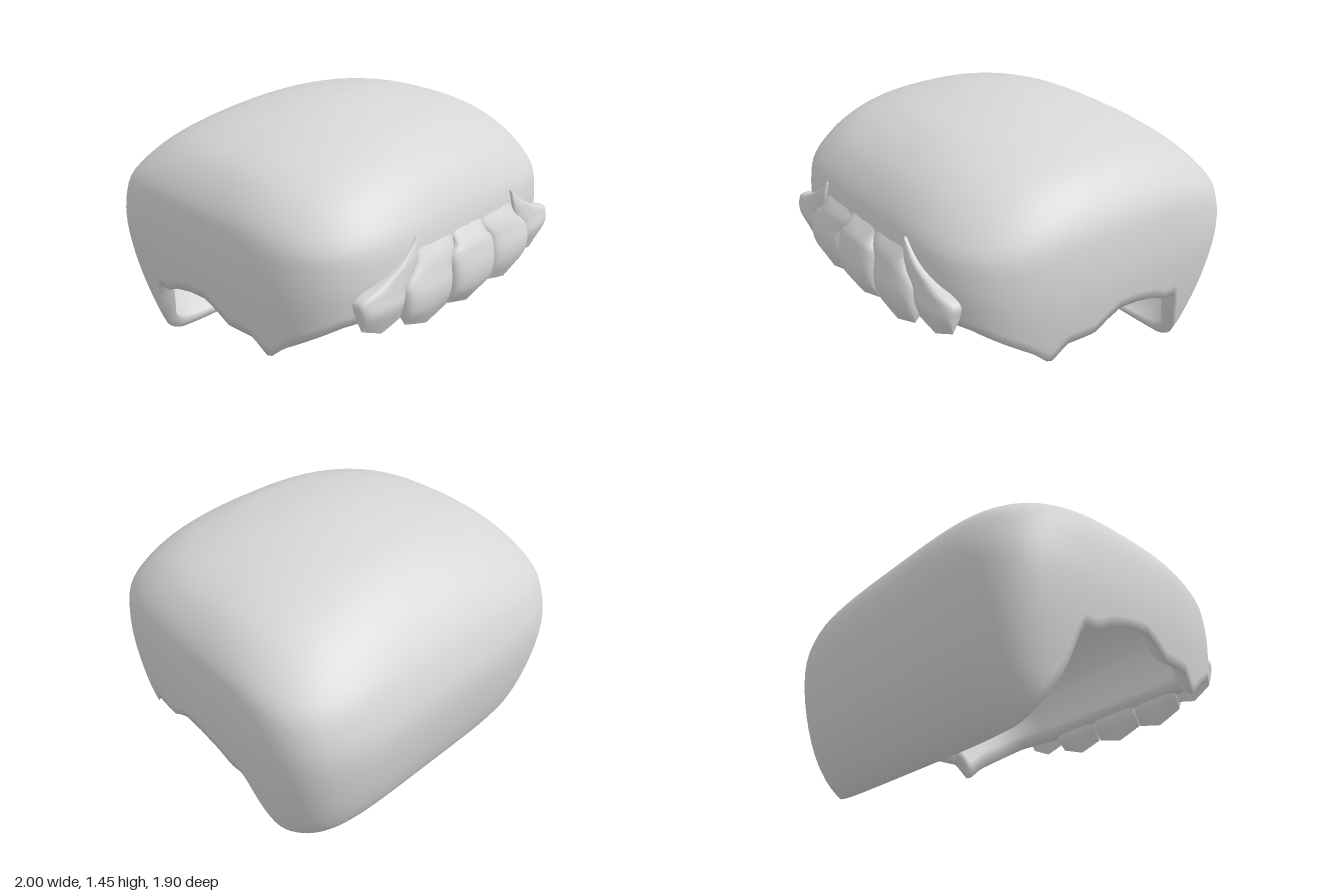
import * as THREE from 'three';

const hairGrey = new THREE.MeshStandardMaterial({ color: 0xd6d6d6 });
hairGrey.name = 'hairGrey';

// Skin a list of closed rings (ordered top to bottom) with smooth normals
function skin(rings, flip = false) {
  const n = rings[0].length, index = [];
  for (let i = 0; i < rings.length - 1; i++) {
    for (let j = 0; j < n; j++) {
      const k = (j + 1) % n;
      const a = i * n + j, c = i * n + k, b = a + n, d = c + n;
      if (flip) index.push(a, b, c, c, b, d);
      else index.push(a, c, b, c, d, b);
    }
  }
  const g = new THREE.BufferGeometry();
  g.setAttribute('position', new THREE.Float32BufferAttribute(rings.flat(2), 3));
  g.setIndex(index);
  g.computeVertexNormals();
  return g;
}

function part(name, geometry) {
  const m = new THREE.Mesh(geometry, hairGrey);
  m.name = name;
  return m;
}

// Shell profile from crown to nape: height, half width, front depth, back depth
const PROFILE = [
  [1.45, 0, 0, 0], [1.435, 0.25, 0.19, 0.21], [1.39, 0.5, 0.42, 0.43],
  [1.34, 0.67, 0.545, 0.545], [1.28, 0.8, 0.645, 0.64], [1.2, 0.89, 0.735, 0.74],
  [1.1, 0.957, 0.805, 0.828], [1.0, 0.985, 0.845, 0.89], [0.85, 0.998, 0.865, 0.942],
  [0.7, 0.995, 0.855, 0.95], [0.5, 0.97, 0.83, 0.925], [0.3, 0.93, 0.78, 0.875],
  [0.15, 0.895, 0.73, 0.8], [0.05, 0.84, 0.68, 0.725], [0, 0.78, 0.62, 0.66],
];

// Hem height along the side, as z and y pairs from front to back
const HEM = [
  [0.82, 0.68], [0.75, 0.66], [0.5, 0.5], [0.4, 0.405], [0.32, 0.5], [0.155, 0.5],
  [0.07, 0.56], [0, 0.595], [-0.12, 0.585], [-0.25, 0.55], [-0.34, 0.5], [-0.43, 0.5],
  [-0.5, 0.28], [-0.58, 0.12], [-0.62, 0.04], [-0.66, 0],
];

function hemHeight(z) {
  if (z >= HEM[0][0]) return HEM[0][1];
  for (let i = 1; i < HEM.length; i++) {
    const [z0, y0] = HEM[i - 1], [z1, y1] = HEM[i];
    if (z >= z1) return y0 + (y1 - y0) * (z0 - z) / (z0 - z1);
  }
  return 0;
}

const wide = new THREE.CatmullRomCurve3(
  PROFILE.map(([y, a, f]) => new THREE.Vector3(a, y, f)), false, 'catmullrom');
const deep = new THREE.CatmullRomCurve3(
  PROFILE.map(([y, , , b]) => new THREE.Vector3(b, y, 0)), false, 'catmullrom');

// Point on the shell at profile position u and angle phi.
// The lining is thick at the hem, thins towards the crown and has tighter corners.
function shellPoint(u, phi, inner) {
  const p = wide.getPoint(u), back = deep.getPoint(u).x;
  const c = Math.cos(phi), s = Math.sin(phi);
  const top = THREE.MathUtils.smoothstep(p.y, 0.65, 1.3);
  const n = 2 + (s > 0 ? 2.3 : 3.2) * Math.min(1, u / 0.5) ** 2 + (inner ? 1.2 * (1 - top) : 0);
  const r = (Math.abs(c) ** n + Math.abs(s) ** n) ** (-1 / n);
  const k = inner ? 0.93 + 0.045 * top : 1;
  const y = p.y + (inner ? 0.045 - 0.075 * top : 0);
  const z = (s > 0 ? p.z : back) * r * s * k;
  // the sides draw in towards the face
  const taper = 1 - 0.08 * Math.max(0, z + 0.2) ** 2;
  return [p.x * r * c * k * taper, y, z];
}

// Rounded cap of hair: outer skin to the hem, then the lining back to the crown
function shellGeometry() {
  const COLS = 208, ROWS = 36, STEPS = 240;
  const rings = Array.from({ length: 2 * (ROWS + 1) }, () => []);
  for (let j = 0; j < COLS; j++) {
    const phi = (j / COLS) * Math.PI * 2;
    let end = 1, before = 0;
    for (let i = 0; i <= STEPS; i++) {
      const [, y, z] = shellPoint(i / STEPS, phi, false);
      const gap = y - hemHeight(z);
      if (gap <= 0 && i > 0) {
        end = (i - 1 + before / (before - gap)) / STEPS;
        break;
      }
      before = gap;
    }
    for (let i = 0; i <= ROWS; i++) {
      const u = end * i / ROWS;
      rings[i].push(shellPoint(u, phi, false));
      rings[2 * ROWS + 1 - i].push(shellPoint(u, phi, true));
    }
  }
  return skin(rings);
}

// Fringe lock, full in front and nearly flat behind.
// Rows: left x, left y, right x, right y, depth centre, depth, tip drop
function lockGeometry(rows, side) {
  const SIDES = 32, SUB = 5, rings = [];
  const signed = (v, e) => Math.sign(v) * Math.abs(v) ** e;
  for (let i = 0; i <= (rows.length - 1) * SUB; i++) {
    const k = Math.min(Math.floor(i / SUB), rows.length - 2), t = i / SUB - k;
    const at = (q) => rows[Math.max(0, Math.min(rows.length - 1, q))];
    const [xl, yl, xr, yr, zc, d, tip] = rows[0].map((_, m) => {
      const a = at(k - 1)[m], b = at(k)[m], c = at(k + 1)[m], e = at(k + 2)[m];
      return b + 0.5 * t * (c - a + t * (2 * a - 5 * b + 4 * c - e + t * (3 * (b - c) + e - a)));
    });
    const ring = [];
    for (let j = 0; j < SIDES; j++) {
      const al = (j / SIDES) * Math.PI * 2;
      const s = signed(Math.cos(al), 0.65), depth = signed(Math.sin(al), 0.45);
      const w = (s + 1) / 2, x = xl + (xr - xl) * w;
      const y = yl + (yr - yl) * w - tip * (1 - Math.abs(s));
      const z = zc + Math.max(d, 0) * depth * (depth < 0 ? 0.25 : 1) - 0.1 * x ** 4;
      ring.push([x * side, y, z]);
    }
    rings.push(ring);
  }
  // close the top
  const mid = [0, 1, 2].map((m) => rings[0].reduce((sum, p) => sum + p[m], 0) / SIDES);
  rings.unshift(rings[0].map(() => mid));
  return skin(rings, side < 0);
}

const CENTRE = [
  [-0.12, 0.98, 0.12, 0.98, 0.82, 0.02, 0.01],
  [-0.125, 0.9, 0.125, 0.9, 0.84, 0.063, 0],
  [-0.165, 0.85, 0.165, 0.85, 0.84, 0.088, 0],
  [-0.17, 0.75, 0.168, 0.75, 0.845, 0.107, 0],
  [-0.17, 0.66, 0.165, 0.66, 0.85, 0.09, 0.01],
  [-0.165, 0.59, 0.16, 0.59, 0.88, 0, 0.048],
];
const MIDDLE = [
  [0.11, 0.98, 0.39, 0.98, 0.82, 0.02, 0.01],
  [0.12, 0.9, 0.4, 0.9, 0.835, 0.055, 0],
  [0.155, 0.83, 0.485, 0.82, 0.84, 0.077, 0],
  [0.163, 0.75, 0.497, 0.75, 0.845, 0.092, 0],
  [0.165, 0.67, 0.494, 0.67, 0.85, 0.078, 0.01],
  [0.17, 0.59, 0.48, 0.605, 0.88, 0, 0.048],
];
const OUTER = [
  [0.378, 1.02, 0.395, 1.005, 0.84, 0.012, 0],
  [0.385, 0.94, 0.5, 0.925, 0.84, 0.035, 0],
  [0.41, 0.86, 0.63, 0.86, 0.835, 0.05, 0],
  [0.46, 0.8, 0.745, 0.815, 0.835, 0.06, 0],
  [0.485, 0.73, 0.745, 0.74, 0.84, 0.065, 0],
  [0.49, 0.64, 0.73, 0.66, 0.86, 0, 0.045],
];

export function createModel() {
  const group = new THREE.Group();
  group.name = 'hair';
  group.add(part('hairShell', shellGeometry()));
  group.add(part('centreLock', lockGeometry(CENTRE, 1)));
  for (const [side, label] of [[1, 'left'], [-1, 'right']]) {
    group.add(part(label + 'MiddleLock', lockGeometry(MIDDLE, side)));
    group.add(part(label + 'OuterLock', lockGeometry(OUTER, side)));
  }
  return group;
}
